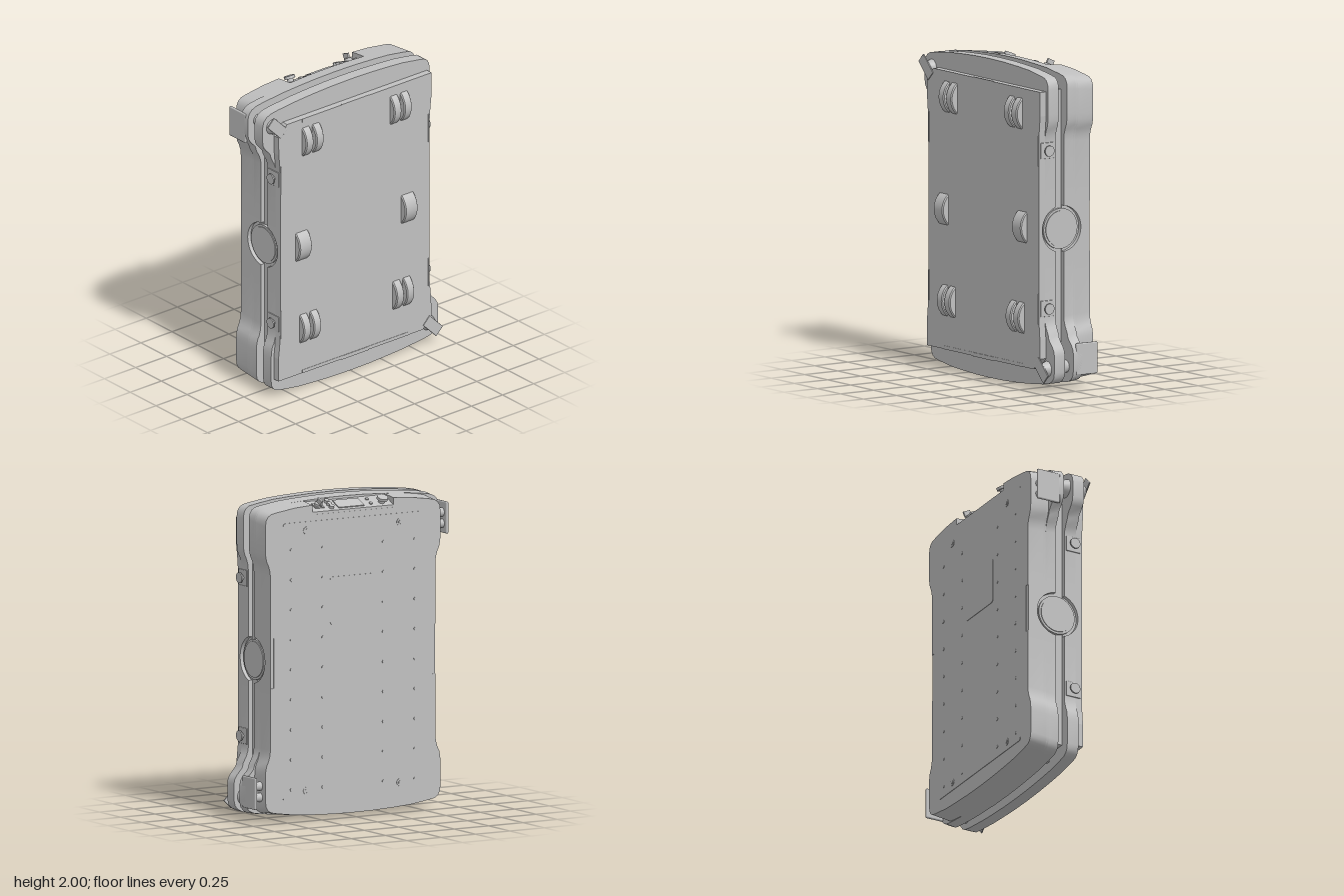
import * as THREE from 'three';
import { toCreasedNormals } from 'three/addons/utils/BufferGeometryUtils.js';
import { RoundedBoxGeometry } from 'three/addons/geometries/RoundedBoxGeometry.js';

export function createModel() {
  const model = new THREE.Group();
  const gray = new THREE.MeshStandardMaterial({ color: 0xc0c0c0 });
  gray.name = 'gray';

  // All parts are placed relative to the body centre, one unit above the ground
  const body = new THREE.Group();
  body.name = 'body';
  body.position.y = 1;
  model.add(body);

  function add(name, geo, x = 0, y = 0, z = 0, parent = body) {
    const mesh = new THREE.Mesh(geo, gray);
    mesh.name = name;
    mesh.position.set(x, y, z);
    parent.add(mesh);
    return mesh;
  }
  const box = (w, h, d) => new THREE.BoxGeometry(w, h, d);
  const cylX = (r, w, n = 40) => new THREE.CylinderGeometry(r, r, w, n).rotateZ(Math.PI / 2);
  const cylZ = (r, d, n = 20, r2 = r) => new THREE.CylinderGeometry(r, r2, d, n).rotateX(Math.PI / 2);
  const shapeOf = pts => new THREE.Shape(pts.map(p => new THREE.Vector2(p[0], p[1])));

  // Slab between two z values
  function slab(pts, z0, z1) {
    const geo = new THREE.ExtrudeGeometry(shapeOf(pts), { depth: z1 - z0, bevelEnabled: false });
    return geo.translate(0, 0, z0);
  }
  // The ends of the rear shell lean inwards towards the deck
  function lean(geo) {
    const p = geo.attributes.position;
    for (let i = 0; i < p.count; i++) {
      const t = (-0.016 - p.getZ(i)) / 0.196;
      p.setY(i, p.getY(i) * (1 - 0.022 * t));
    }
    geo.computeVertexNormals();
    return geo;
  }

  // Half outline: plain corner at +x, optional scanner bulge at -x, optional notch in the end
  const waist = [[0.575, 0.16], [0.6, 0.16], [0.6, 0.55]];
  const corner = [[0.604, 0.59], [0.614, 0.625], [0.628, 0.655], [0.635, 0.69], [0.637, 0.73], [0.637, 0.88],
    [0.632, 0.915], [0.618, 0.94], [0.595, 0.955], [0.55, 0.964], [0.42, 0.983]];
  const bulge = [[-0.42, 0.983], [-0.58, 0.966], [-0.645, 0.955], [-0.675, 0.94], [-0.697, 0.915], [-0.705, 0.88],
    [-0.705, 0.78], [-0.7, 0.75], [-0.685, 0.725], [-0.645, 0.68], [-0.637, 0.65], [-0.615, 0.61], [-0.604, 0.58]];
  const mirror = pts => pts.map(([x, y]) => [-x, y]).reverse();
  function half(bulged, notched) {
    const end = notched ? [[0.295, 0.991], [0.295, 0.93], [-0.295, 0.93], [-0.295, 0.991]]
      : [[0.3, 0.991], [0.15, 0.998], [0, 1], [-0.15, 0.998], [-0.3, 0.991]];
    return [...waist, ...corner, ...end, ...(bulged ? bulge : mirror(corner)), ...mirror(waist)];
  }
  const turn = pts => pts.map(([x, y]) => [-x, -y]);
  const outline = (bulged, notched) => [...half(bulged, notched), ...turn(half(bulged, false))];

  // Main layers
  add('frontBumperLayer', toCreasedNormals(slab(outline(true, false), 0.048, 0.127), 0.6));
  add('rearShellBase', toCreasedNormals(lean(slab(outline(true, false), -0.085, -0.016)), 0.6));
  add('rearShellMiddle', toCreasedNormals(lean(slab(outline(false, false), -0.1, -0.085)), 0.6));
  add('rearShell', toCreasedNormals(lean(slab(outline(false, true), -0.212, -0.1)), 0.6));
  add('grooveCore', box(1.14, 1.74, 0.07), 0, 0, 0.016);
  const panelHalf = [...waist, [0.606, 0.64], [0.615, 0.72], [0.615, 0.872], [-0.545, 0.872], [-0.615, 0.8],
    [-0.612, 0.68], ...mirror(waist)];
  add('underPanel', slab([...panelHalf, ...turn(panelHalf)], 0.127, 0.172));

  // Waist blocks with a round cut, and the round side covers
  const sideBlock = (z0, z1) => {
    const a = Math.sqrt(0.145 ** 2 - z0 ** 2), pts = [[z0, -0.16], [z1, -0.16], [z1, 0.16], [z0, 0.16]];
    const top = Math.atan2(a, z0), bottom = Math.atan2(-a, z0);
    const sweep = z0 > 0 ? bottom - top : bottom + 2 * Math.PI - top;
    for (let i = 0; i <= 24; i++) {
      const t = top + sweep * i / 24;
      pts.push([0.145 * Math.cos(t), 0.145 * Math.sin(t)]);
    }
    const geo = new THREE.ExtrudeGeometry(shapeOf(pts), { depth: 0.03, bevelEnabled: false });
    return geo.translate(0, 0, -0.015).rotateY(-Math.PI / 2);
  };
  for (const s of [-1, 1]) {
    add('frontWaistBlock', sideBlock(0.048, 0.172), s * 0.585);
    add('rearWaistBlock', sideBlock(-0.016, -0.209), s * 0.585);
    add('sideCover', cylX(0.127, 0.04), s * 0.568);
    add('sideCoverFace', cylX(0.113, 0.006), s * 0.59);
    // Side buttons
    for (const y of [0.5, -0.49]) {
      add('buttonPlate', new RoundedBoxGeometry(0.008, 0.1, 0.1, 2, 0.003), s * 0.601, y, 0.11);
      add('buttonStem', cylX(0.016, 0.03, 20), s * 0.612, y, 0.11);
      add('buttonCap', cylX(0.034, 0.009, 24), s * 0.627, y, 0.11);
      add('sideTrim', box(0.01, 0.19, 0.005), s * 0.592, y, 0.173);
    }
  }

  // Wheels
  const wheel = w => toCreasedNormals(new THREE.LatheGeometry([[0, -w / 2], [0.118, -w / 2], [0.125, -w / 2 + 0.006],
    [0.125, w / 2 - 0.006], [0.118, w / 2], [0, w / 2]].map(p => new THREE.Vector2(...p)), 48), 0.5)
    .rotateZ(Math.PI / 2);
  for (const x of [-0.43, 0.42]) add('driveWheel', wheel(0.1), x, 0.005, 0.093);
  for (const x of [-0.397, -0.315, 0.31, 0.393]) add('casterWheel', wheel(0.06), x, 0.713, 0.093);
  for (const x of [-0.417, -0.335, 0.33, 0.413]) add('casterWheel', wheel(0.06), x, -0.565, 0.093);

  // Parts repeated at both ends by a half turn
  for (const angle of [0, Math.PI]) {
    const end = new THREE.Group();
    end.name = 'endFittings';
    end.rotation.z = angle;
    body.add(end);
    add('panelStrip', box(0.85, 0.022, 0.006), 0, 0.862, 0.171, end);
    add('panelTab', box(0.215, 0.024, 0.01), 0, 0.864, 0.171, end);
    for (const x of [-0.4, 0.4]) add('bumperMount', box(0.03, 0.06, 0.066), x, 0.89, 0.016, end);
    // Corner scanner with its foot and guard
    add('scanner', cylZ(0.06, 0.045, 32, 0.045), -0.62, 0.86, 0.025, end);
    add('scannerNeck', cylZ(0.04, 0.03, 32), -0.62, 0.86, -0.005, end);
    add('scannerFoot', cylZ(0.035, 0.045, 24, 0.05), -0.625, 0.865, 0.148, end);
    add('scannerFootPlate', new RoundedBoxGeometry(0.15, 0.075, 0.01, 2, 0.004), -0.625, 0.87, 0.171, end)
      .rotation.z = -Math.PI / 4;
    add('guardPlate', new RoundedBoxGeometry(0.018, 0.2, 0.16, 3, 0.008), -0.696, 0.81, -0.121, end);
    add('guardArm', cylX(0.028, 0.07, 20), -0.66, 0.84, -0.15, end);
    add('guardArm', cylX(0.028, 0.07, 20), -0.66, 0.77, -0.15, end);
  }

  // Deck plate with hatch and fasteners
  const rounded = (w, h, r) => {
    const s = [];
    for (const [cx, cy, a] of [[1, 1, 0], [-1, 1, 1], [-1, -1, 2], [1, -1, 3]])
      for (let i = 0; i <= 4; i++) {
        const t = (a + i / 4) * Math.PI / 2;
        s.push([cx * (w / 2 - r) + r * Math.cos(t), cy * (h / 2 - r) + r * Math.sin(t)]);
      }
    return s;
  };
  add('deckPlate', slab(rounded(1.02, 1.74, 0.02), -0.215, -0.21));
  add('deckHatch', slab(rounded(0.34, 0.3, 0.02), -0.218, -0.214), 0, 0.36);
  for (const x of [-0.45, -0.22, 0.22, 0.45])
    for (let i = 0; i < 9; i++) add('deckScrew', cylZ(0.01, 0.004, 10), x, 0.7 - i * 0.1875, -0.216);
  for (const x of [-0.34, 0.34])
    for (const y of [-0.815, 0.815]) {
      add('deckBolt', cylZ(0.024, 0.004, 24), x, y, -0.216);
      add('deckBoltCentre', cylZ(0.012, 0.004, 6), x, y, -0.219);
    }

  // Control panel, sloping down towards the deck
  const wedge = new THREE.ExtrudeGeometry(shapeOf([[-0.1, 0.9], [-0.1, 0.975], [-0.211, 0.925], [-0.211, 0.9]]),
    { depth: 0.59, bevelEnabled: false }).rotateY(-Math.PI / 2).translate(0.295, 0, 0);
  add('controlPanel', wedge);
  const controls = new THREE.Group();
  controls.name = 'controls';
  controls.position.set(0, 0.95, -0.1555);
  controls.rotation.x = -Math.atan2(0.05, 0.111);
  body.add(controls);
  const knob = (name, r, h, x, z) => add(name, new THREE.CylinderGeometry(r, r, h, 24), x, h / 2, z, controls);
  add('display', box(0.185, 0.008, 0.085), 0, 0.002, 0, controls);
  knob('stopButtonStem', 0.02, 0.025, -0.23, -0.02);
  knob('stopButton', 0.035, 0.018, -0.23, -0.02).position.y = 0.03;
  for (const z of [-0.025, 0.025]) knob('indicator', 0.011, 0.008, -0.15, z);
  for (const z of [-0.03, 0, 0.035]) knob('pushButton', 0.016, 0.018, 0.14, z);
  add('keyPlate', box(0.065, 0.008, 0.05), 0.22, 0.003, 0, controls);
  knob('keySwitch', 0.025, 0.022, 0.22, 0);
  add('keyHandle', box(0.012, 0.035, 0.05), 0.22, 0.035, -0.008, controls);

  return model;
}
